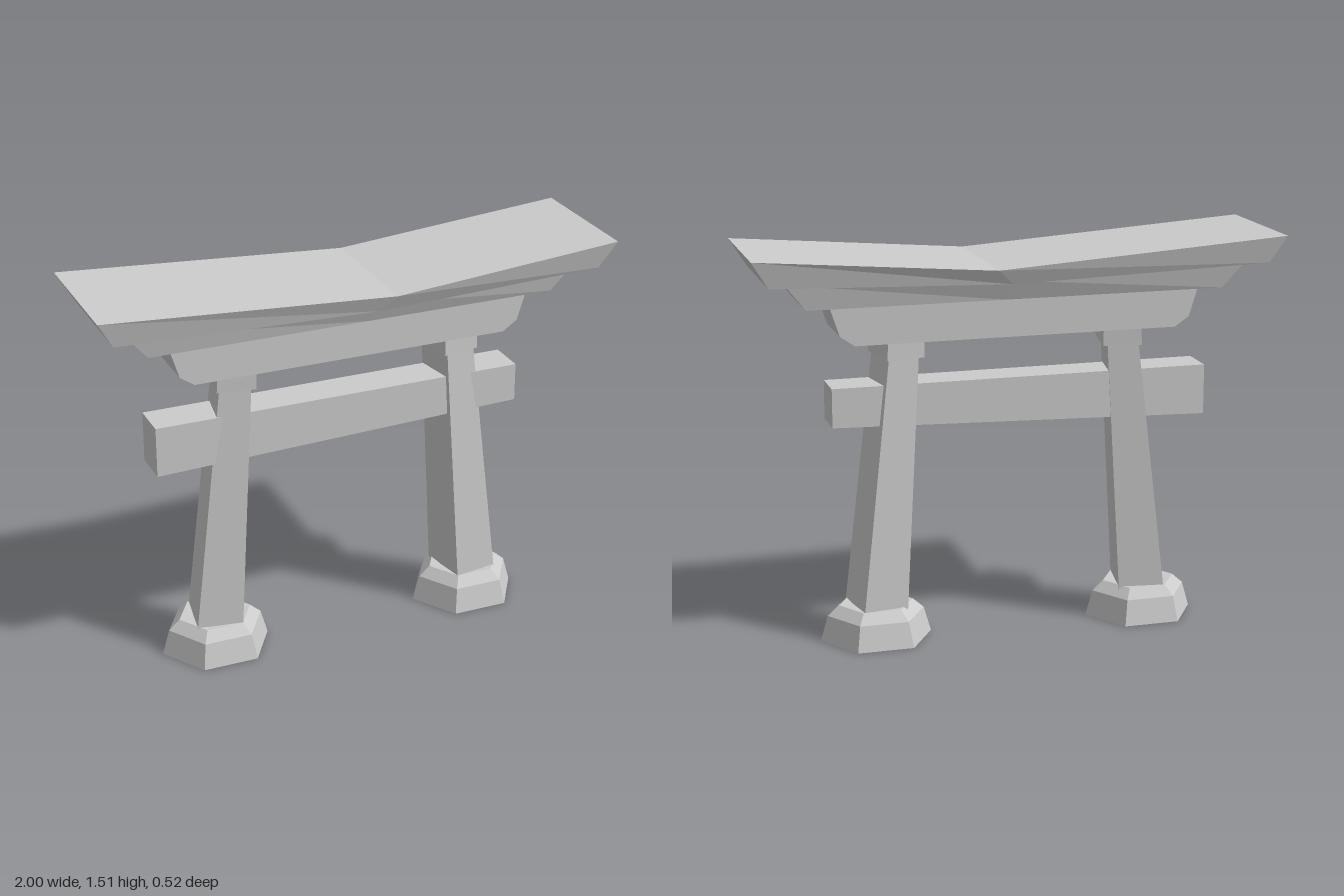
import * as THREE from 'three';

const material = new THREE.MeshStandardMaterial({ color: 0xcccccc, flatShading: true });
const openMaterial = new THREE.MeshStandardMaterial({ color: 0xcccccc, flatShading: true, side: THREE.DoubleSide });

function part(name, geometry, mat = material) {
  const mesh = new THREE.Mesh(geometry, mat);
  mesh.name = name;
  return mesh;
}

// Closed solid through four-cornered rings, counterclockwise about the direction of progress.
function loft(rings) {
  const pos = [];
  const quad = (a, b, c, d) => pos.push(...a, ...b, ...c, ...a, ...c, ...d);
  for (let r = 0; r < rings.length - 1; r++) {
    for (let i = 0; i < 4; i++) {
      const j = (i + 1) % 4;
      quad(rings[r][i], rings[r][j], rings[r + 1][j], rings[r + 1][i]);
    }
  }
  const first = rings[0], last = rings[rings.length - 1];
  quad(first[3], first[2], first[1], first[0]);
  quad(...last);
  const geometry = new THREE.BufferGeometry();
  geometry.setAttribute('position', new THREE.Float32BufferAttribute(pos, 3));
  geometry.computeVertexNormals();
  return geometry;
}

// Horizontal rectangle, turned slightly about the vertical axis
function postRing(cx, y, width, depth, turn) {
  const c = Math.cos(turn), s = Math.sin(turn);
  return [[1, 1], [1, -1], [-1, -1], [-1, 1]].map(([u, v]) => {
    const x = u * width / 2, z = v * depth / 2;
    return [cx + x * c + z * s, y, z * c - x * s];
  });
}

// Cross-section of a roof beam, with its own top and bottom x, y and half depth
function beamRing([xTop, yTop, zTop], [xBottom, yBottom, zBottom]) {
  return [
    [xTop, yTop, zTop], [xBottom, yBottom, zBottom],
    [xBottom, yBottom, -zBottom], [xTop, yTop, -zTop],
  ];
}

// Front outline extruded evenly about z = 0
function slab(points, depth) {
  const shape = new THREE.Shape(points.map(([x, y]) => new THREE.Vector2(x, y)));
  return new THREE.ExtrudeGeometry(shape, { depth, bevelEnabled: false }).translate(0, 0, -depth / 2);
}

export function createModel() {
  const model = new THREE.Group();
  model.name = 'gate';

  // Leaning pillars with cap blocks and six-sided footings
  for (const side of [1, -1]) {
    const turn = side * 0.165;
    const label = side > 0 ? 'left' : 'right';

    const footProfile = [[0.214, 0], [0.186, 0.097], [0.143, 0.135], [0, 0.127]]
      .map(([r, y]) => new THREE.Vector2(r, y));
    const foot = part(label + 'Footing', new THREE.LatheGeometry(footProfile, 6, Math.PI / 2), openMaterial);
    foot.position.x = side * 0.525;
    foot.scale.z = 0.93;

    const pillar = part(label + 'Pillar', loft([
      postRing(side * 0.522, 0.12, 0.175, 0.2, turn),
      postRing(side * 0.436, 1.1, 0.118, 0.17, turn),
    ]));

    const cap = part(label + 'PillarCap', loft([
      postRing(side * 0.433, 1.092, 0.146, 0.192, turn),
      postRing(side * 0.431, 1.165, 0.142, 0.192, turn),
    ]));
    model.add(foot, pillar, cap);
  }

  // Tie beam, deeper at one end
  const tie = part('tieBeam', slab([[-0.755, 0.8], [0.69, 0.845], [0.69, 0.992], [-0.755, 0.992]], 0.15));
  tie.position.z = 0.004;
  model.add(tie);

  // Lintel with chamfered ends
  model.add(part('lintel', slab([
    [-0.615, 1.157], [0.61, 1.157], [0.665, 1.195], [0.7, 1.302],
    [-0.703, 1.302], [-0.67, 1.195],
  ], 0.236)));

  // Flared beam under the roof
  model.add(part('roofBeam', loft([
    beamRing([-0.875, 1.403, 0.165], [-0.79, 1.302, 0.142]),
    beamRing([0.05, 1.378, 0.172], [0.05, 1.302, 0.142]),
    beamRing([0.87, 1.403, 0.165], [0.79, 1.302, 0.142]),
  ])));

  // Roof rising towards both ends
  model.add(part('roof', loft([
    beamRing([-1, 1.507, 0.26], [-0.94, 1.405, 0.235]),
    beamRing([0.11, 1.433, 0.26], [0.05, 1.376, 0.235]),
    beamRing([1, 1.507, 0.26], [0.937, 1.405, 0.235]),
  ])));

  return model;
}
